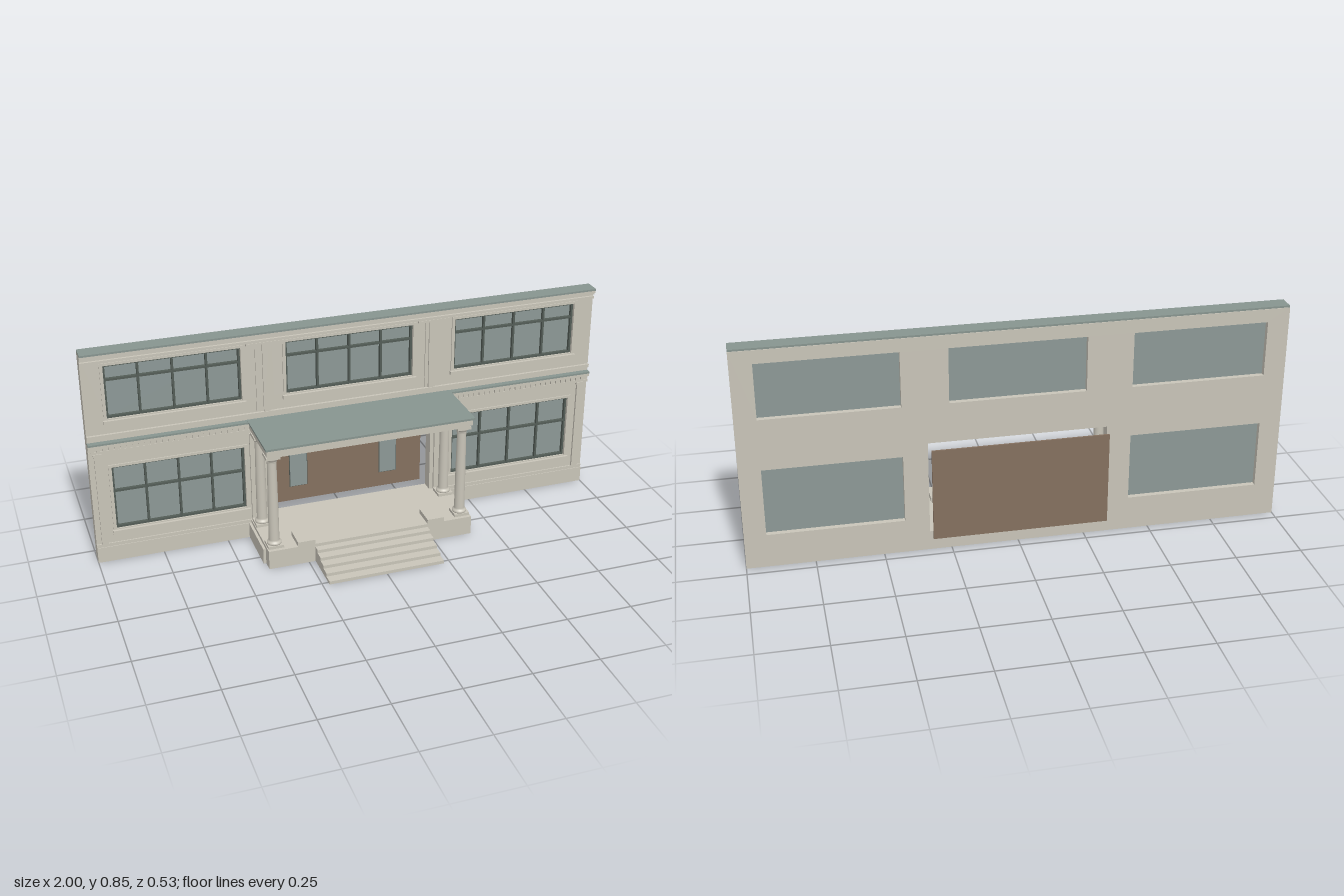
import * as THREE from 'three';

const mat = (name, color) => {
  const m = new THREE.MeshStandardMaterial({ color });
  m.name = name;
  return m;
};

export function createModel() {
  const stone = mat('stone', 0xc8c4b8);
  const patina = mat('patinaRoof', 0x87948f);
  const glass = mat('glass', 0x8c9896);
  const frame = mat('darkFrame', 0x535c56);
  const wood = mat('brownDoor', 0x84705f);
  const model = new THREE.Group();
  model.name = 'facadeWithPortico';

  const add = (name, geo, material, parent = model) => {
    const mesh = new THREE.Mesh(geo, material);
    mesh.name = name;
    parent.add(mesh);
    return mesh;
  };
  // box given by its lower and upper bounds
  const box = (name, x0, x1, y0, y1, z0, z1, material = stone, parent = model) =>
    add(name, new THREE.BoxGeometry(x1 - x0, y1 - y0, z1 - z0)
      .translate((x0 + x1) / 2, (y0 + y1) / 2, (z0 + z1) / 2), material, parent);
  const pair = (name, x0, x1, ...rest) => {
    box(name, x0, x1, ...rest);
    box(name, -x1, -x0, ...rest);
  };

  const BACK = -0.21, FACE = -0.165;
  const windows = [
    [-0.92, -0.42, 0.13, 0.39], [0.42, 0.92, 0.13, 0.39],
    [-0.92, -0.42, 0.585, 0.795], [-0.25, 0.25, 0.585, 0.795], [0.42, 0.92, 0.585, 0.795],
  ];

  // wall with window and door openings
  const rect = (Type, x0, x1, y0, y1) => new Type([
    new THREE.Vector2(x0, y0), new THREE.Vector2(x1, y0),
    new THREE.Vector2(x1, y1), new THREE.Vector2(x0, y1),
  ]);
  const wallShape = rect(THREE.Shape, -1, 1, 0, 0.845);
  [...windows, [-0.33, 0.33, 0.075, 0.435]].forEach(w => wallShape.holes.push(rect(THREE.Path, ...w)));
  add('wall', new THREE.ExtrudeGeometry(wallShape, { depth: FACE - BACK, bevelEnabled: false })
    .translate(0, 0, BACK), stone);

  // windows: glass, dark frame and bars, stone surround and sill
  windows.forEach(([x0, x1, y0, y1]) => {
    const g = new THREE.Group();
    g.name = 'window';
    model.add(g);
    const cx = (x0 + x1) / 2, t = 0.008, zb = -0.185, zf = -0.172;
    const transom = y1 - (y1 - y0) * (y0 < 0.3 ? 0.39 : 0.27);
    box('glassPane', x0, x1, y0, y1, -0.19, zb, glass, g);
    box('frameTop', x0, x1, y1 - t, y1, zb, zf, frame, g);
    box('frameBottom', x0, x1, y0, y0 + t, zb, zf, frame, g);
    box('frameSide', x0, x0 + t, y0, y1, zb, zf, frame, g);
    box('frameSide', x1 - t, x1, y0, y1, zb, zf, frame, g);
    const tr = y0 < 0.3 ? 0.285 : 0.735;
    box('transom', x0, x1, tr - 0.004, tr + 0.004, zb, zf, frame, g);
    [-0.125, 0, 0.125].forEach(d =>
      box('mullion', cx + d - 0.004, cx + d + 0.004, y0, y1, zb, zf, frame, g));
    box('sill', x0 - 0.015, x1 + 0.015, y0 - 0.018, y0 - 0.004, FACE, -0.154, stone, g);
    box('surroundSide', x0 - 0.012, x0, y0, y1 + 0.01, FACE, -0.16, stone, g);
    box('surroundSide', x1, x1 + 0.012, y0, y1 + 0.01, FACE, -0.16, stone, g);
    box('surroundTop', x0, x1, y1, y1 + 0.01, FACE, -0.16, stone, g);
  });

  // plinth either side of the porch
  pair('plinth', 0.33, 1, 0, 0.062, FACE, -0.157);
  pair('plinthCap', 0.33, 1, 0.062, 0.075, FACE, -0.16);

  // corner and middle pilasters
  pair('cornerPilaster', 0.955, 0.98, 0.075, 0.445, FACE, -0.156);
  pair('cornerCapital', 0.95, 0.985, 0.445, 0.455, FACE, -0.153);
  pair('porchPilaster', 0.345, 0.4, 0.075, 0.445, FACE, -0.156);
  pair('upperPilaster', 0.3, 0.366, 0.53, 0.8, FACE, -0.16);
  pair('upperPilasterRib', 0.313, 0.34, 0.53, 0.8, -0.16, -0.154);
  pair('upperPilasterCapital', 0.27, 0.4, 0.8, 0.808, FACE, -0.154);

  // middle cornice with dentils
  box('architrave', -1, 1, 0.452, 0.463, FACE, -0.156);
  box('corniceBed', -1, 1, 0.463, 0.48, FACE, -0.159);
  for (let x = -0.99; x < 0.99; x += 0.022) {
    if (Math.abs(x) > 0.41) box('dentil', x, x + 0.012, 0.464, 0.479, -0.159, -0.153);
  }
  box('cornice', -1, 1, 0.48, 0.493, FACE, -0.147);
  box('corniceFlashing', -1, 1, 0.493, 0.5, FACE, -0.143, patina);
  box('stringCourse', -1, 1, 0.516, 0.528, FACE, -0.155);

  // top cornice and coping
  box('topFrieze', -1, 1, 0.808, 0.818, FACE, -0.156);
  box('topCorniceLower', -1, 1, 0.826, 0.834, FACE, -0.153);
  box('topCornice', -1, 1, 0.834, 0.845, FACE, -0.147);
  box('coping', -1, 1, 0.845, 0.852, -0.207, -0.143, patina);

  // porch floor, cheek blocks and steps
  box('porchFloor', -0.405, 0.405, 0, 0.075, FACE, 0.093);
  pair('porchSkirt', 0.405, 0.415, 0, 0.062, FACE, 0.048);
  pair('cheekBlock', 0.225, 0.292, 0.075, 0.093, 0.005, 0.093);
  for (let i = 0; i < 5; i++) {
    box('step', -0.225, 0.225, i * 0.0125, (i + 1) * 0.0125, 0.09, 0.265 - i * 0.036);
  }

  // columns
  const profile = [
    [0, 0.085], [0.027, 0.085], [0.028, 0.09], [0.026, 0.095], [0.022, 0.097], [0.02, 0.103],
    [0.0195, 0.24], [0.0175, 0.425], [0.019, 0.427], [0.019, 0.431], [0.0185, 0.433],
    [0.025, 0.441], [0.026, 0.446], [0, 0.446],
  ].map(p => new THREE.Vector2(...p));
  const columnGeo = new THREE.LatheGeometry(profile, 24);
  for (const x of [-0.372, 0.372]) for (const z of [0.049, -0.121]) {
    const g = new THREE.Group();
    g.name = 'column';
    g.position.set(x, 0, z);
    model.add(g);
    add('shaft', columnGeo, stone, g);
    box('base', -0.03, 0.03, 0.075, 0.086, -0.03, 0.03, stone, g);
    box('abacus', -0.027, 0.027, 0.445, 0.456, -0.027, 0.027, stone, g);
  }

  // porch entablature and roof
  box('porchBeam', -0.395, 0.395, 0.455, 0.468, FACE, 0.077);
  box('porchEntablature', -0.4, 0.4, 0.468, 0.493, FACE, 0.088);
  box('porchRoof', -0.405, 0.405, 0.493, 0.501, FACE, 0.097, patina);

  // entrance panel standing behind the wall, with two glazed lights
  box('doorPanel', -0.325, 0.325, 0.073, 0.43, -0.265, -0.258, wood);
  pair('doorLightFrame', 0.148, 0.222, 0.135, 0.322, -0.258, -0.256, frame);
  pair('doorLight', 0.151, 0.219, 0.138, 0.319, -0.256, -0.253, glass);

  return model;
}
